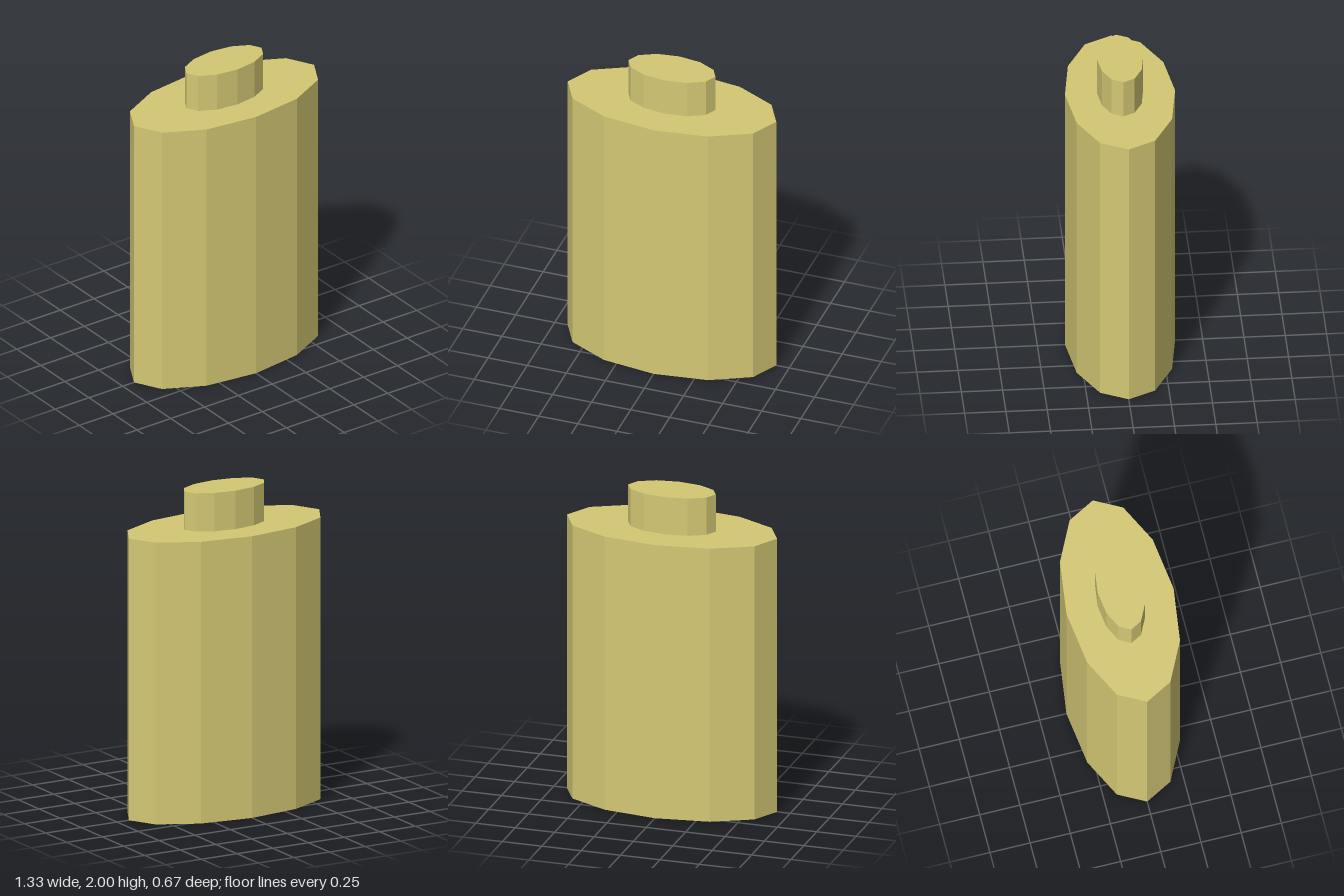
import * as THREE from 'three';

const SIDES = 12;

// Upright prism with an elliptical cross-section, half as deep as it is wide
function ovalPrism(name, radius, bottom, top, material) {
  const geometry = new THREE.CylinderGeometry(radius, radius, top - bottom, SIDES);
  geometry.scale(1, 1, 0.5);
  geometry.translate(0, (bottom + top) / 2, 0);
  const mesh = new THREE.Mesh(geometry, material);
  mesh.name = name;
  return mesh;
}

export function createModel() {
  const model = new THREE.Group();
  model.name = 'flask';

  const paleGold = new THREE.MeshStandardMaterial({ color: 0xd4c874 });
  paleGold.name = 'paleGold';
  paleGold.flatShading = true;

  // Body and the short neck standing on it
  model.add(ovalPrism('body', 0.667, 0, 1.76, paleGold));
  model.add(ovalPrism('neck', 0.278, 1.76, 2, paleGold));

  return model;
}
